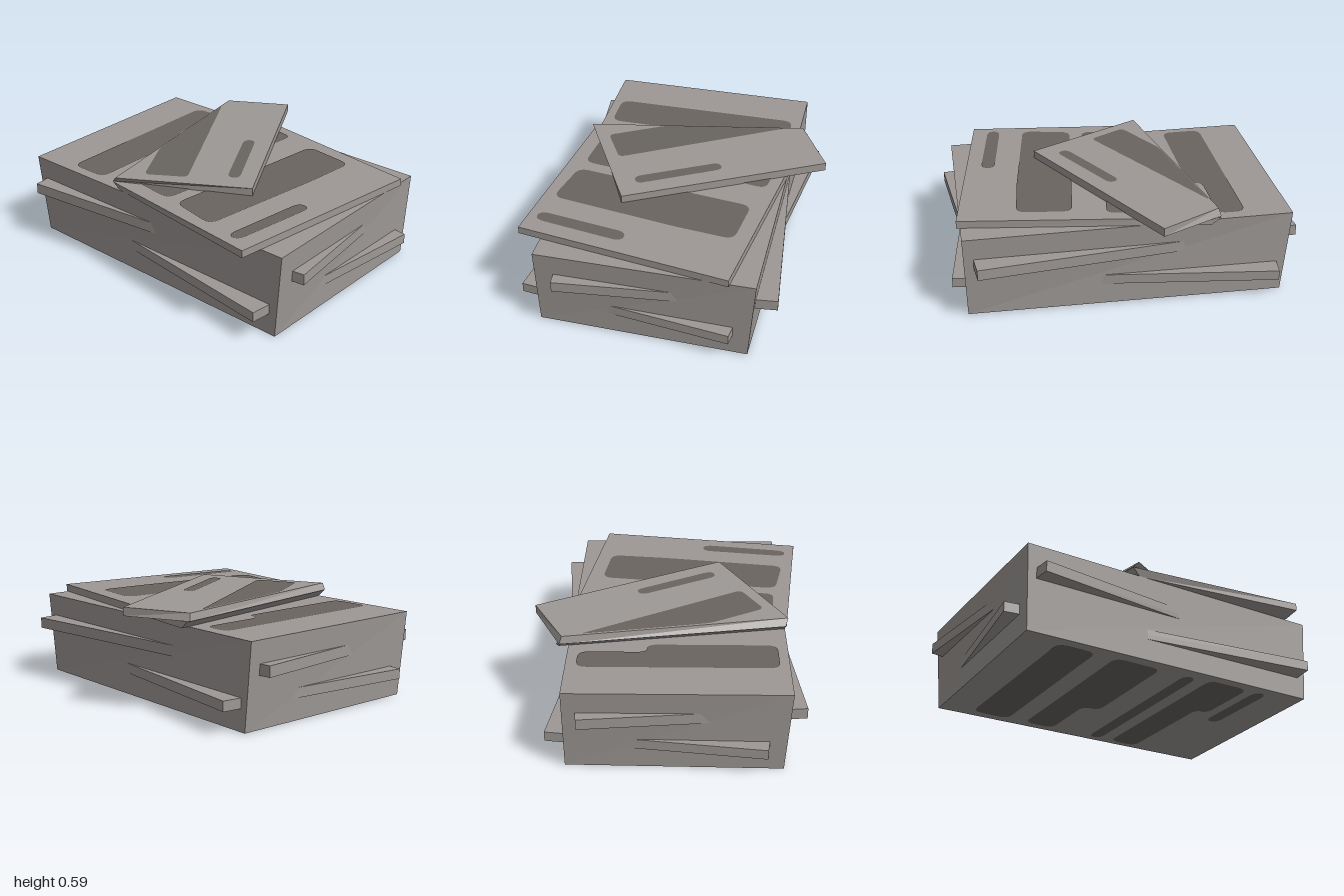
import * as THREE from 'three';

const paper = new THREE.MeshStandardMaterial({ color: 0x9d9895 });
paper.name = 'grey paper';
const ink = new THREE.MeshStandardMaterial({ color: 0x69645f });
ink.name = 'dark ink';

// Solid skinned over four-cornered rings [x, y, z], from bottom to top,
// each ring ordered front left, front right, back right, back left in plan.
function loft(rings) {
  const pos = [];
  const tri = (...pts) => pts.forEach((p) => pos.push(...p));
  const quad = (a, b, c, d) => { tri(a, b, c); tri(a, c, d); };
  for (let r = 0; r < rings.length - 1; r++) {
    const lo = rings[r], hi = rings[r + 1];
    for (let i = 0; i < 4; i++) {
      const j = (i + 1) % 4;
      quad(lo[i], lo[j], hi[j], hi[i]);
    }
  }
  quad(...rings[rings.length - 1]);
  quad(...[...rings[0]].reverse());
  const g = new THREE.BufferGeometry();
  g.setAttribute('position', new THREE.Float32BufferAttribute(pos, 3));
  g.computeVertexNormals();
  return g;
}

const ring = (y, pts) => pts.map(([x, z]) => [x, y, z]);
const slab = (pts, y0, y1) => loft([ring(y0, pts), ring(y1, pts)]);

// Flat outline with rounded corners, in plan coordinates [x, z]
function roundedShape(pts, radius) {
  const v = pts.map(([x, z]) => new THREE.Vector2(x, z));
  const n = v.length, s = new THREE.Shape();
  v.forEach((p, i) => {
    const prev = v[(i + n - 1) % n], next = v[(i + 1) % n];
    const cut = (q) => p.clone().lerp(q, Math.min(0.49, radius / p.distanceTo(q)));
    const a = cut(prev), b = cut(next);
    if (i === 0) s.moveTo(a.x, a.y); else s.lineTo(a.x, a.y);
    s.quadraticCurveTo(p.x, p.y, b.x, b.y);
  });
  s.closePath();
  return s;
}

// Printed patch facing up (or down); height may vary over the sheet
function patch(pts, height, radius, down = false) {
  const src = down ? pts : pts.map(([x, z]) => [x, -z]);
  const g = new THREE.ShapeGeometry(roundedShape(src, radius), 6);
  g.rotateX(down ? Math.PI / 2 : -Math.PI / 2);
  const p = g.attributes.position;
  for (let i = 0; i < p.count; i++) p.setY(i, height(p.getX(i), p.getZ(i)));
  g.computeVertexNormals();
  return g;
}

const rect = (x0, x1, z0, z1) => [[x0, z0], [x1, z0], [x1, z1], [x0, z1]];

export function createModel() {
  const group = new THREE.Group();
  group.name = 'paperStack';
  const add = (name, geometry, material) => {
    const m = new THREE.Mesh(geometry, material);
    m.name = name;
    group.add(m);
  };

  // Main pile, its base twisted a little
  add('mainPile', loft([
    ring(0, [[-0.66, 0.89], [0.535, 0.915], [0.57, -0.89], [-0.63, -0.91]]),
    ring(0.495, [[-0.66, 0.925], [0.57, 0.925], [0.57, -0.935], [-0.66, -0.935]]),
  ]), paper);

  // Two skewed papers sticking out of the pile
  add('lowerSkewedPaper', slab([[-0.775, 0.835], [0.44, 0.99], [0.68, -0.845], [-0.535, -1]], 0.127, 0.185), paper);
  add('upperSkewedPaper', slab([[-0.545, 0.985], [0.68, 0.855], [0.49, -0.99], [-0.745, -0.865]], 0.303, 0.366), paper);

  // Top paper with bevelled fold edge
  add('topPaper', loft([
    ring(0.495, [[-0.79, 0.77], [0.425, 0.945], [0.625, -0.45], [-0.655, -0.24]]),
    ring(0.538, [[-0.79, 0.77], [0.425, 0.945], [0.63, -0.5], [-0.665, -0.285]]),
  ]), paper);

  // Folded-over half, sinking slightly towards the fold
  const flapY = (x, z) => 0.587 + 0.0152 * (0.473 * (x + 0.295) + 0.881 * (z - 0.435));
  add('foldedFlap', loft([
    ring(0.538, [[-0.295, 0.435], [0.785, -0.145], [0.615, -0.505], [-0.66, -0.29]]),
    [[-0.295, 0.435], [0.785, -0.145], [0.6, -0.492], [-0.675, -0.255]].map(([x, z]) => [x, flapY(x, z), z]),
  ]), paper);

  // Print on the pile's top
  const flat = (y) => () => y;
  add('pilePrint', patch([[-0.605, -0.675], [0.51, -0.675], [0.51, -0.515], [0.125, -0.515], [0.125, -0.435], [-0.605, -0.435]],
    flat(0.499), 0.06), ink);

  // Print on the top paper
  const coverPrints = [
    [[[-0.585, -0.2], [0.5, -0.06], [0.475, 0.115], [0.36, 0.1], [-0.1, 0.03], [-0.115, 0.165], [-0.615, 0.095]], 0.05],
    [[[-0.63, 0.17], [0.425, 0.3], [0.385, 0.61], [0.05, 0.575], [-0.69, 0.465]], 0.06],
    [[[-0.715, 0.61], [-0.195, 0.685], [-0.205, 0.765], [-0.725, 0.685]], 0.06],
  ];
  for (const [pts, r] of coverPrints) add('topPaperPrint', patch(pts, flat(0.542), r), ink);

  // Print on the folded flap
  const flapTop = (x, z) => flapY(x, z) + 0.003;
  add('flapPrint', patch([[-0.54, -0.155], [-0.235, -0.325], [-0.09, -0.355], [0.5, -0.465], [-0.415, 0.06]], flapTop, 0.035), ink);
  add('flapPrintLine', patch([[-0.275, 0.235], [0.175, -0.01], [0.21, 0.05], [-0.245, 0.3]], flapTop, 0.05), ink);

  // Print underneath the pile
  const basePrints = [
    rect(-0.58, 0.5, -0.7, -0.47),
    [[-0.58, -0.35], [0.5, -0.35], [0.5, -0.165], [0.1, -0.165], [0.1, -0.06], [-0.58, -0.06]],
    rect(-0.58, 0.5, 0.1, 0.18),
    [[-0.6, 0.26], [0.5, 0.26], [0.5, 0.44], [-0.2, 0.44], [-0.2, 0.52], [-0.6, 0.52]],
    rect(-0.6, -0.1, 0.58, 0.66),
  ];
  for (const pts of basePrints) add('basePrint', patch(pts, flat(-0.003), 0.06, true), ink);

  return group;
}
